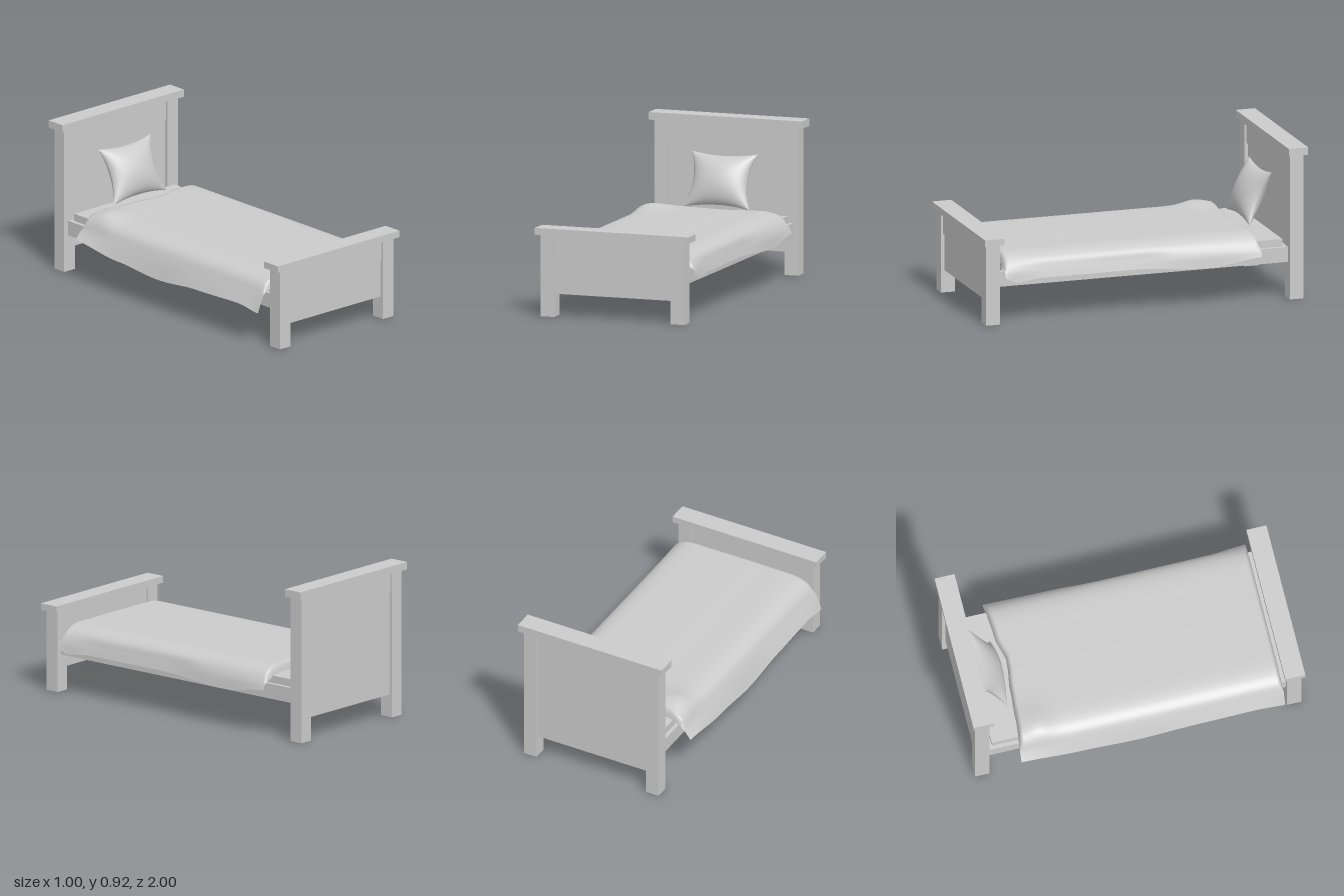
import * as THREE from 'three';
import { mergeGeometries } from 'three/addons/utils/BufferGeometryUtils.js';

const CX = 0.02; // centre line of the wooden frame
const grey = new THREE.MeshStandardMaterial({ color: 0xcccccc });
const cloth = new THREE.MeshStandardMaterial({ color: 0xcccccc, side: THREE.DoubleSide });

// Box given by its limits on each axis
function box(name, x0, x1, y0, y1, z0, z1) {
  const mesh = new THREE.Mesh(new THREE.BoxGeometry(x1 - x0, y1 - y0, z1 - z0), grey);
  mesh.position.set((x0 + x1) / 2, (y0 + y1) / 2, (z0 + z1) / 2);
  mesh.name = name;
  return mesh;
}

// Two posts, a cap, an upper rail and a recessed panel
function endBoard(name, z, postTop, capTop, railBottom) {
  const g = new THREE.Group();
  g.name = name;
  for (const [side, x] of [['right', -0.43], ['left', 0.385]])
    g.add(box(side + 'Post', x, x + 0.085, 0, postTop, z - 0.043, z + 0.043));
  g.add(box('cap', -0.46, 0.5, postTop, capTop, z - 0.06, z + 0.06));
  g.add(box('upperRail', -0.345, 0.385, railBottom, postTop, z - 0.03, z + 0.03));
  g.add(box('panel', -0.345, 0.385, 0.135, railBottom, z - 0.022, z + 0.022));
  return g;
}

// Linear interpolation through [position, value] pairs
function along(pairs, p) {
  for (let i = 1; i < pairs.length; i++) {
    const [a, va] = pairs[i - 1], [b, vb] = pairs[i];
    if (p <= b) return THREE.MathUtils.lerp(va, vb, THREE.MathUtils.smoothstep(p, a, b));
  }
  return pairs[pairs.length - 1][1];
}

// Draped sheet: a cross-section swept from head to foot with wavy hems
function blanket() {
  const nu = 40, nv = 48;
  const geo = new THREE.PlaneGeometry(1, 1, nu, nv);
  const pos = geo.attributes.position;
  const hemRight = [[-0.72, 0.26], [-0.35, 0.22], [0, 0.195], [0.35, 0.22], [0.7, 0.23], [0.87, 0.21]];
  const hemLeft = [[-0.72, 0.28], [-0.4, 0.24], [0.1, 0.265], [0.65, 0.265], [0.8, 0.25], [0.87, 0.28]];
  const edgeLeft = [[-0.72, 0.5], [-0.3, 0.495], [0, 0.482], [0.6, 0.485], [0.87, 0.5]];
  const headEdge = [[-0.5, -0.72], [-0.25, -0.7], [-0.1, -0.69], [0.1, -0.665], [0.25, -0.7], [0.5, -0.715]];
  for (let j = 0; j <= nv; j++) {
    const t = 0.5 - 0.5 * Math.cos(Math.PI * j / nv); // rows gather at both ends
    const zRow = -0.71 + 1.58 * t;
    const xl = along(edgeLeft, zRow);
    const section = new THREE.CatmullRomCurve3([
      [-0.5, along(hemRight, zRow)], [-0.46, 0.31], [-0.425, 0.37], [-0.36, 0.402], [-0.15, 0.41],
      [0.2, 0.41], [0.39, 0.403], [0.45, 0.37], [xl - 0.015, 0.32], [xl, along(hemLeft, zRow)],
    ].map(([x, y]) => new THREE.Vector3(x, y, 0)), false, 'centripetal');
    for (let i = 0; i <= nu; i++) {
      const p = section.getPoint(i / nu);
      const z0 = along(headEdge, p.x);
      const z = z0 + (0.87 - z0) * t;
      const top = THREE.MathUtils.smoothstep(p.y, 0.3, 0.4);
      // Ends turn down on to the mattress, with a raised fold near the head
      const droop = 0.05 * (Math.max(0, 1 - t / 0.012) ** 2 + Math.max(0, 1 - (1 - t) / 0.012) ** 2);
      const fold = 0.026 * Math.exp(-(((z + 0.59) / 0.09) ** 2)) * Math.exp(-(((p.x + 0.36) / 0.13) ** 2));
      pos.setXYZ(j * (nu + 1) + i, p.x, p.y + top * (fold - droop), z);
    }
  }
  geo.computeVertexNormals();
  const mesh = new THREE.Mesh(geo, cloth);
  mesh.name = 'blanket';
  return mesh;
}

// Cushion with pointed corners, pinched sides and a seam around the rim
function pillow() {
  const half = new THREE.PlaneGeometry(2, 2, 24, 24);
  const pos = half.attributes.position;
  for (let i = 0; i < pos.count; i++) {
    const u = Math.sin(pos.getX(i) * Math.PI / 2), v = Math.sin(pos.getY(i) * Math.PI / 2);
    const a = 1 - u * u, b = 1 - v * v;
    pos.setXYZ(i, u * 0.207 * (1 - 0.19 * b), v * 0.17 * (1 - 0.13 * a), 0.076 * Math.pow(Math.max(0, a * b), 0.55));
  }
  half.computeVertexNormals();
  const mesh = new THREE.Mesh(mergeGeometries([half, half.clone().rotateY(Math.PI)]), grey);
  mesh.position.set(CX, 0.555, -0.8);
  mesh.rotation.x = -0.42;
  mesh.name = 'pillow';
  return mesh;
}

export function createModel() {
  const bed = new THREE.Group();
  bed.name = 'bed';
  bed.add(
    endBoard('headboard', -0.94, 0.875, 0.92, 0.745),
    endBoard('footboard', 0.94, 0.485, 0.525, 0.355),
    box('bedBase', CX - 0.418, CX + 0.418, 0.22, 0.31, -0.9, 0.9),
    box('mattress', CX - 0.395, CX + 0.395, 0.31, 0.355, -0.87, 0.87),
    blanket(),
    pillow(),
  );
  return bed;
}
